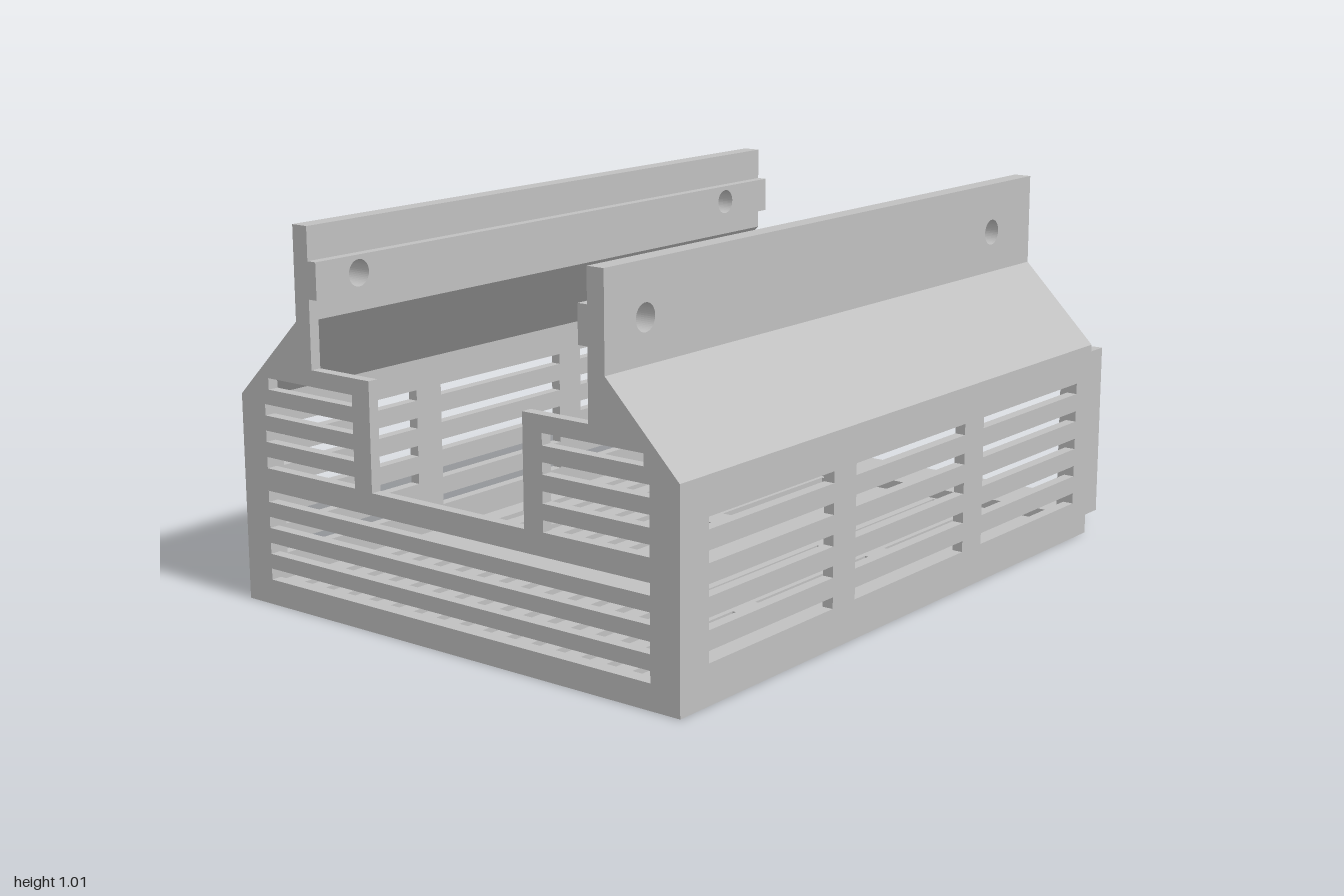
import * as THREE from 'three';

const X0 = -1, X1 = 0.88, T = 0.035, W = 0.03;
const SLOT = 0.03;
const COLUMNS = [[-0.893, -0.396], [-0.3, 0.206], [0.3, 0.802]];

const polygon = (pts) => new THREE.Shape(pts.map(([x, y]) => new THREE.Vector2(x, y)));
const rect = (x0, y0, x1, y1) => polygon([[x0, y0], [x1, y0], [x1, y1], [x0, y1]]);

const extrude = (shape, depth) =>
  new THREE.ExtrudeGeometry(shape, { depth, bevelEnabled: false, curveSegments: 24 });

// Profile drawn in (z, y), extruded along x from x0 to x1
const alongX = (shape, x0, x1) =>
  extrude(shape, x1 - x0).rotateY(-Math.PI / 2).translate(x1, 0, 0);

// Cut rows of vent slots, three columns wide
function addSlots(shape, first, pitch, rows) {
  for (let i = 0; i < rows; i++) {
    const y = first + i * pitch;
    for (const [a, b] of COLUMNS) shape.holes.push(rect(a, y, b, y + SLOT));
  }
  return shape;
}

// Strip with the two screw holes
function drilledStrip(y0, y1) {
  const shape = rect(X0, y0, X1, y1);
  for (const x of [-0.853, 0.675]) {
    shape.holes.push(new THREE.Path().absarc(x, 0.88, 0.035, 0, Math.PI * 2, true));
  }
  return shape;
}

export function createModel() {
  const group = new THREE.Group();
  const grey = new THREE.MeshStandardMaterial({ color: 0xc0c0c0 });
  grey.name = 'light grey';
  const add = (name, geometry) => {
    const mesh = new THREE.Mesh(geometry, grey);
    mesh.name = name;
    group.add(mesh);
  };

  // Vented floor
  const floor = addSlots(rect(X0, -0.69, X1, 0.69), -0.628, 0.08, 16);
  add('floor', extrude(floor, T).rotateX(Math.PI / 2).translate(0, T, 0));

  // Front and back: wall, sloped hood, drilled flange and inner ridge
  for (const [side, s] of [['front', 1], ['back', -1]]) {
    const plate = (name, shape, zIn, zOut) =>
      add(side + name, extrude(shape, zOut - zIn).translate(0, 0, s > 0 ? zIn : -zOut));
    plate('Wall', addSlots(rect(X0, 0, X1, 0.54), 0.104, 0.08, 5), 0.69, 0.72);
    plate('Flange', drilledStrip(0.775, 1.015), 0.455, 0.505);
    plate('Ridge', drilledStrip(0.83, 0.927), 0.427, 0.455);
    const hood = [[0.72, 0.54], [0.72, 0.553], [0.505, 0.768], [0.505, 0.775], [0.455, 0.775], [0.69, 0.54]];
    add(side + 'Hood', alongX(polygon(hood.map(([z, y]) => [z * s, y])), X0, X1));
  }

  // Notched and vented end wall
  const half = [[0.69, T], [0.69, 0.54], [0.455, 0.775], [0.455, 0.65], [0.253, 0.65], [0.253, 0.365]];
  const end = polygon([...half, ...half.map(([z, y]) => [-z, y]).reverse()]);
  for (let i = 0; i < 4; i++) {
    const low = 0.067 + i * 0.07, high = 0.367 + i * 0.07;
    const outer = i === 3 ? 0.617 : 0.633;
    end.holes.push(rect(-0.633, low, 0.633, low + SLOT));
    end.holes.push(rect(0.313, high, outer, high + SLOT));
    end.holes.push(rect(-outer, high, -0.313, high + SLOT));
  }
  add('endWall', alongX(end, X0, X0 + W));

  // U-shaped tongue that projects from the open end
  const tongue = polygon([
    [-0.69, 0.52], [-0.69, T], [0.69, T], [0.69, 0.52],
    [0.66, 0.52], [0.66, 0.065], [-0.66, 0.065], [-0.66, 0.52],
  ]);
  add('tongue', alongX(tongue, 0.817, 1));

  return group;
}
